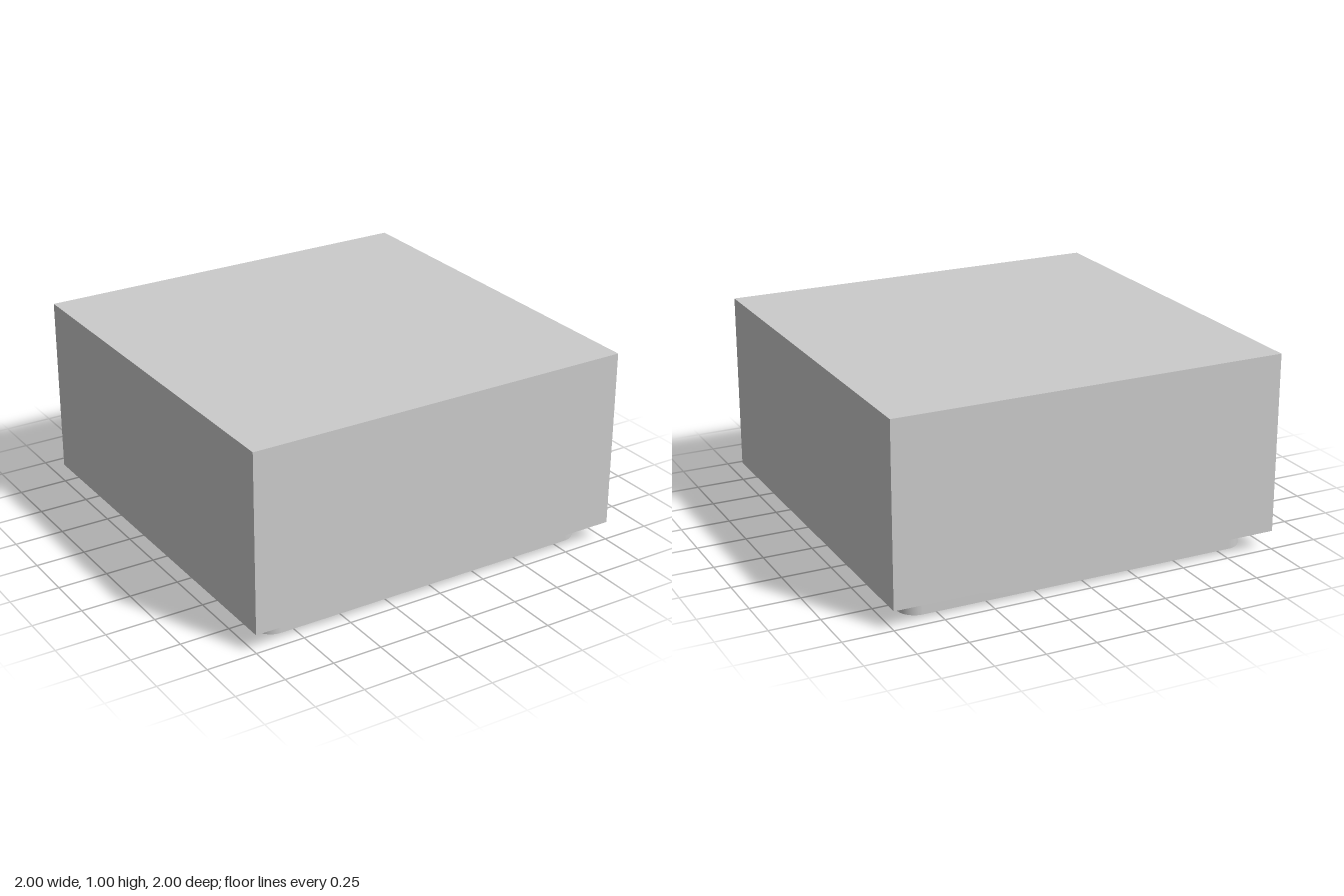
import * as THREE from 'three';
import { toCreasedNormals } from 'three/addons/utils/BufferGeometryUtils.js';

const HALF_BASE = 0.907, BASE_HEIGHT = 0.095, CORNER_RADIUS = 0.09;

// Square outline with rounded corners, centred on the origin
function roundedSquare(half, radius) {
  const shape = new THREE.Shape();
  const c = half - radius;
  [[c, c], [-c, c], [-c, -c], [c, -c]].forEach(([x, y], i) => {
    const start = i * Math.PI / 2;
    shape.absarc(x, y, radius, start, start + Math.PI / 2, false);
  });
  shape.closePath();
  return shape;
}

export function createModel() {
  const model = new THREE.Group();
  model.name = 'block';
  const material = new THREE.MeshStandardMaterial({ color: 0xcccccc });

  // Main sharp-edged body
  const bodyHeight = 1 - BASE_HEIGHT;
  const body = new THREE.Mesh(new THREE.BoxGeometry(2, bodyHeight, 2), material);
  body.name = 'body';
  body.position.y = BASE_HEIGHT + bodyHeight / 2;
  model.add(body);

  // Recessed plinth with rounded vertical corners
  const plinthGeometry = new THREE.ExtrudeGeometry(roundedSquare(HALF_BASE, CORNER_RADIUS), {
    depth: BASE_HEIGHT, bevelEnabled: false, curveSegments: 10,
  });
  plinthGeometry.rotateX(-Math.PI / 2);
  const plinth = new THREE.Mesh(toCreasedNormals(plinthGeometry, Math.PI / 6), material);
  plinth.name = 'plinth';
  model.add(plinth);

  return model;
}
